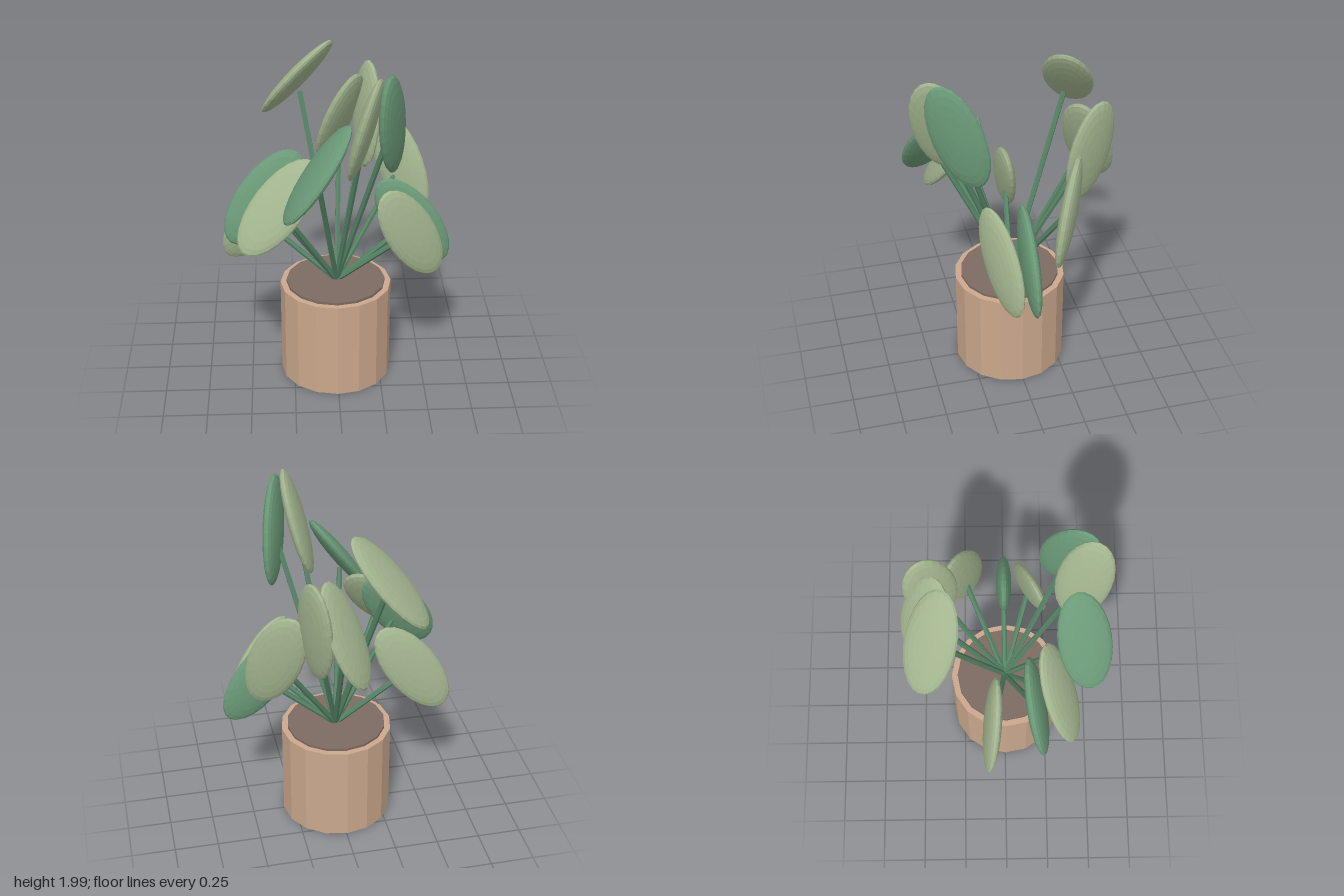
import * as THREE from 'three';

const material = (name, color) => {
  const m = new THREE.MeshStandardMaterial({ color });
  m.name = name;
  return m;
};

// Faceted copy of a geometry
function faceted(geometry) {
  const g = geometry.toNonIndexed();
  g.computeVertexNormals();
  return g;
}

function addMesh(parent, name, geometry, mat) {
  const mesh = new THREE.Mesh(geometry, mat);
  mesh.name = name;
  parent.add(mesh);
  return mesh;
}

export function createModel() {
  const group = new THREE.Group();
  group.name = 'pottedPlant';
  const clay = material('clay', 0xcba88d);
  const soilBrown = material('soil brown', 0x7d6b62);
  const sage = material('sage green', 0xa3b58f);
  const green = material('leaf green', 0x6b9a78);
  const stemGreen = material('stem green', 0x568466);

  // Pot and the soil standing slightly above it
  const pot = addMesh(group, 'pot', faceted(new THREE.CylinderGeometry(0.32, 0.32, 0.575, 16)), clay);
  pot.position.set(-0.005, 0.2875, 0.005);
  const soil = addMesh(group, 'soil', faceted(new THREE.CylinderGeometry(0.285, 0.285, 0.04, 16)), soilBrown);
  soil.position.set(-0.005, 0.57, 0.005);

  // Each leaf: centre, long axis, face normal, colour
  const leaves = [
    [[0.432, 0.952, 0.0], [-0.58, 0.81, 0], [0, 0, 1], green],
    [[0.41, 0.952, 0.15], [-0.51, 0.85, 0.15], [0.44, 0.11, 0.89], sage],
    [[0.277, 1.69, 0.347], [-0.1, 0.945, 0.31], [0.9, -0.05, 0.44], green],
    [[0.13, 1.69, 0.418], [0.22, 0.955, 0.2], [-0.925, 0.27, -0.27], sage],
    [[-0.12, 1.445, 0.427], [0.56, 0.81, -0.16], [-0.8, 0.575, 0.17], green],
    [[-0.328, 1.198, 0.298], [0.62, 0.73, -0.28], [-0.21, 0.5, 0.84], sage],
    [[-0.405, 1.2, 0.17], [0.6, 0.78, -0.16], [-0.04, 0.23, 0.97], green],
    [[-0.433, 0.947, -0.073], [0.6, 0.8, 0.096], [0.06, -0.165, 0.985], sage],
    [[-0.21, 1.69, -0.382], [0.6, 0.75, 0.23], [-0.64, 0.64, -0.42], sage],
    [[0.035, 1.425, -0.43], [0.3, 0.9, 0.25], [-0.7, 0.35, -0.6], sage],
    [[0.19, 1.45, -0.397], [0.05, 0.98, -0.17], [0.91, -0.12, -0.4], sage],
    [[0.378, 1.2, -0.23], [-0.32, 0.91, -0.255], [-0.46, 0.08, 0.88], sage],
  ];

  const leafGeometry = faceted(new THREE.SphereGeometry(1, 24, 12).scale(0.315, 0.045, 0.147));
  const root = new THREE.Vector3(0, 0.58, 0);
  const up = new THREE.Vector3(0, 1, 0);

  for (const [centre, axis, normal, colour] of leaves) {
    const c = new THREE.Vector3(...centre);
    const u = new THREE.Vector3(...axis).normalize();
    const n = new THREE.Vector3(...normal);
    n.addScaledVector(u, -n.dot(u)).normalize();

    // Flattened oval leaf
    const leaf = addMesh(group, 'leaf', leafGeometry, colour);
    leaf.quaternion.setFromRotationMatrix(
      new THREE.Matrix4().makeBasis(u, n, new THREE.Vector3().crossVectors(u, n)));
    leaf.position.copy(c);

    // Straight stem from the soil into the leaf
    const span = c.clone().sub(root).multiplyScalar(0.93);
    const length = span.length();
    const stem = addMesh(group, 'stem',
      faceted(new THREE.CylinderGeometry(0.016, 0.016, length, 6)), stemGreen);
    stem.quaternion.setFromUnitVectors(up, span.clone().normalize());
    stem.position.copy(root).addScaledVector(span, 0.5);
  }
  return group;
}
